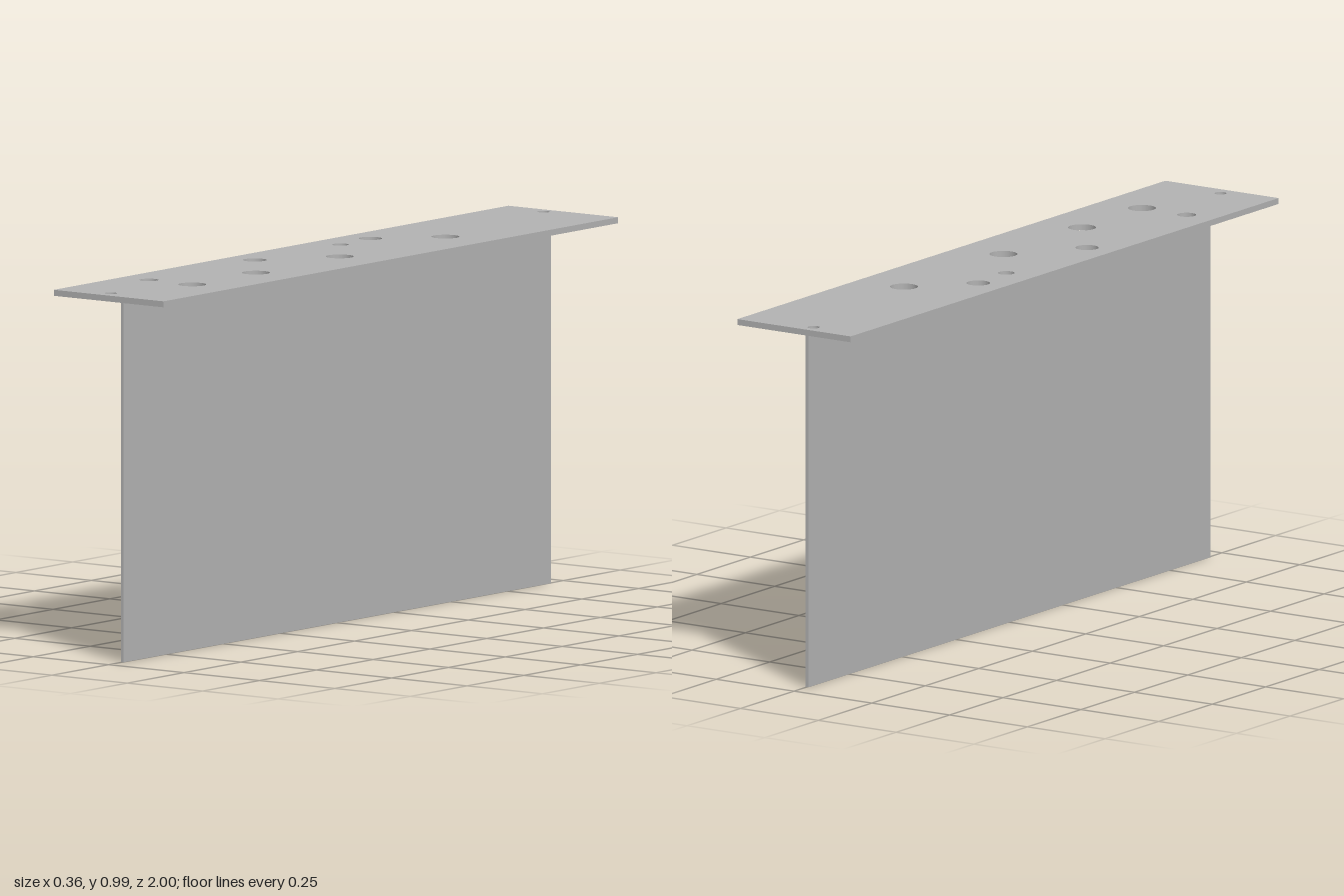
import * as THREE from 'three';

const TOP = 0.987, UNDERSIDE = 0.971, SHEET = 0.009;

// Hole centres and radii in the top plate: x, z, radius
const HOLES = [
  [-0.039, -0.965, 0.016], [-0.023, 0.96, 0.016],
  [0.038, -0.431, 0.037], [0.041, 0.038, 0.037], [0.049, 0.417, 0.037], [0.049, 0.697, 0.037],
  [-0.1, -0.284, 0.031], [-0.098, 0.227, 0.031],
  [-0.093, -0.143, 0.022], [-0.094, 0.698, 0.025],
];

function polygon(points) {
  return new THREE.Shape(points.map(([x, y]) => new THREE.Vector2(x, y)));
}

export function createModel() {
  const model = new THREE.Group();
  model.name = 'bracket';
  const metal = new THREE.MeshStandardMaterial({ color: 0xb2b2b2 });
  metal.name = 'grey metal';

  // Flat top plate with drilled holes
  const w = 0.182;
  const outline = polygon([[-w, -1], [w, -1], [w, 1], [-w, 1]]);
  for (const [x, z, r] of HOLES) {
    outline.holes.push(new THREE.Path().absarc(x, z, r, 0, Math.PI * 2, true));
  }
  const plateGeometry = new THREE.ExtrudeGeometry(outline, {
    depth: TOP - UNDERSIDE, bevelEnabled: false, curveSegments: 32,
  });
  plateGeometry.rotateX(Math.PI / 2).translate(0, TOP, 0);
  const plate = new THREE.Mesh(plateGeometry, metal);
  plate.name = 'topPlate';

  // Hanging sheet with its upper edge folded into a flange under the plate
  const left = -0.005, right = left + SHEET, fold = UNDERSIDE - SHEET;
  const profile = polygon([
    [left, 0], [right, 0], [right, fold], [0.074, fold], [0.074, UNDERSIDE], [left, UNDERSIDE],
  ]);
  const sheetGeometry = new THREE.ExtrudeGeometry(profile, { depth: 1.88, bevelEnabled: false });
  sheetGeometry.translate(0, 0, -0.94);
  const sheet = new THREE.Mesh(sheetGeometry, metal);
  sheet.name = 'foldedSheet';

  model.add(plate, sheet);
  return model;
}
